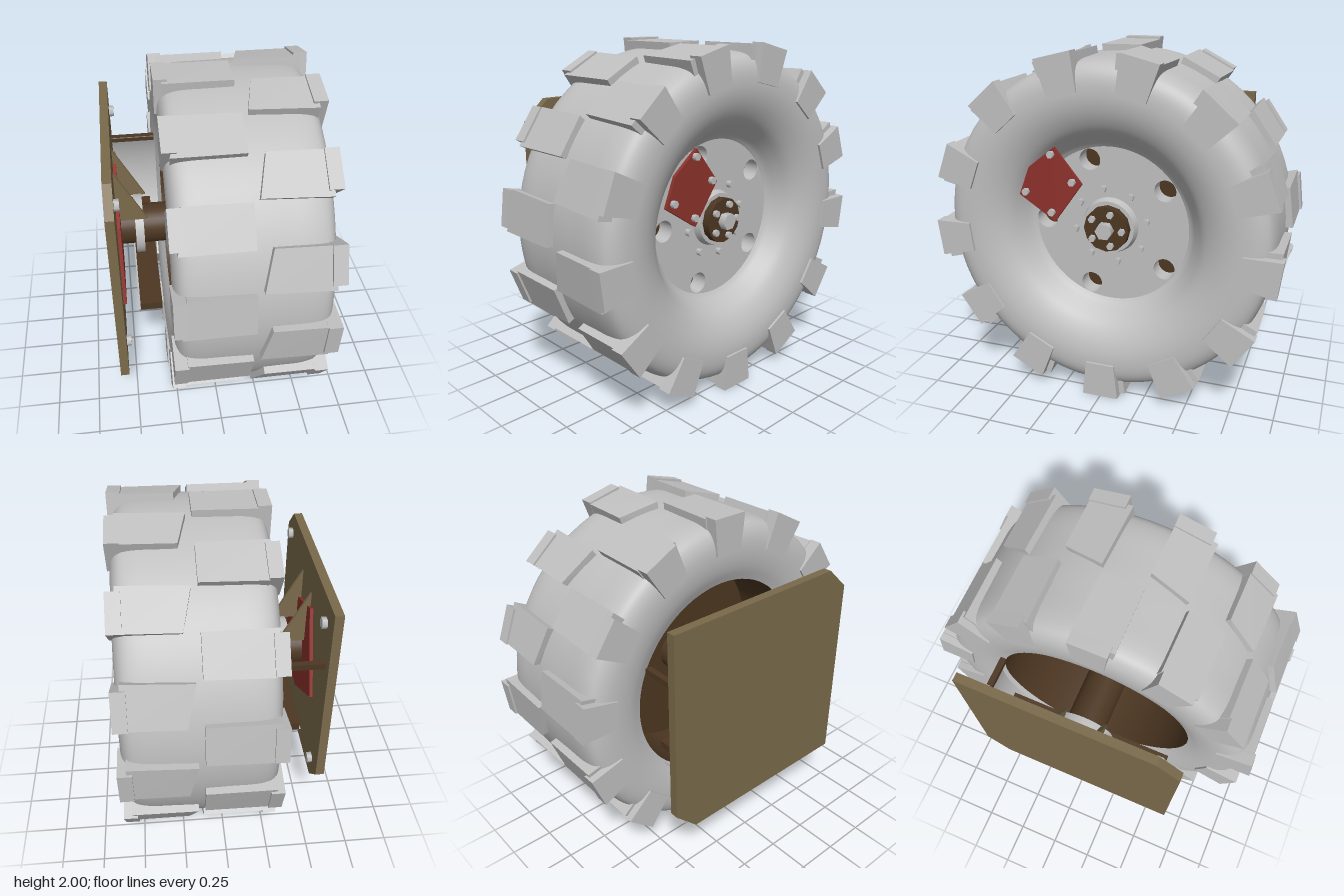
import * as THREE from 'three';
import { ConvexGeometry } from 'three/addons/geometries/ConvexGeometry.js';

const mat = (name, color) => Object.assign(new THREE.MeshStandardMaterial({ color }), { name });
const V = (x, y, z) => new THREE.Vector3(x, y, z);

export function createModel() {
  const grey = mat('rubberGrey', 0xc0c0c0);
  const brown = mat('darkBrown', 0x4d3722);
  const khaki = mat('khakiPlate', 0x7a6a4b);
  const red = mat('red', 0x8e322c);

  const model = new THREE.Group();
  model.name = 'wheelAssembly';
  // everything on the axle shares this group, axle along x
  const wheel = new THREE.Group();
  wheel.name = 'wheel';
  wheel.position.y = 1;
  model.add(wheel);

  const add = (name, geo, material) => {
    const m = new THREE.Mesh(geo, material);
    m.name = name;
    wheel.add(m);
    return m;
  };
  // cylinder along x between x0 and x1
  const rod = (name, r, x0, x1, material, y = 0, z = 0, sides = 32) => {
    const g = new THREE.CylinderGeometry(r, r, x1 - x0, sides);
    g.rotateZ(-Math.PI / 2);
    g.translate((x0 + x1) / 2, y, z);
    return add(name, g, material);
  };
  // surface of revolution about x from [radius, x] points
  const spin = (name, pts, material) => {
    const g = new THREE.LatheGeometry(pts.map(p => new THREE.Vector2(...p)), 72);
    g.rotateZ(-Math.PI / 2);
    return add(name, g, material);
  };
  // plate drawn in (z, y), from x1 back to x0
  const plate = (name, shape, x0, x1, material) => {
    const g = new THREE.ExtrudeGeometry(shape, { depth: x1 - x0, bevelEnabled: false, curveSegments: 36 });
    g.rotateY(-Math.PI / 2);
    g.translate(x1, 0, 0);
    return add(name, g, material);
  };
  const poly = pts => new THREE.Shape(pts.map(p => new THREE.Vector2(...p)));

  // tyre carcass with a dished outer wall
  const side = new THREE.CatmullRomCurve3([
    [0.6, -0.235], [0.68, -0.265], [0.78, -0.278], [0.87, -0.268], [0.925, -0.235], [0.948, -0.17],
    [0.953, 0], [0.955, 0.15], [0.953, 0.3], [0.948, 0.45], [0.925, 0.525], [0.87, 0.562], [0.78, 0.573],
    [0.7, 0.562], [0.63, 0.535], [0.57, 0.495], [0.52, 0.435], [0.485, 0.39], [0.46, 0.37]
  ].map(p => V(p[0], p[1], 0)));
  spin('tyre', side.getPoints(72).map(p => [p.x, p.y]), grey);

  // wheel disc with five round holes
  const disc = new THREE.Shape().absarc(0, 0, 0.462, 0, Math.PI * 2);
  for (let i = 0; i < 5; i++) {
    const a = (i * 72 * Math.PI) / 180;
    disc.holes.push(new THREE.Path().absarc(0.395 * Math.cos(a), 0.395 * Math.sin(a), 0.062, 0, Math.PI * 2, true));
  }
  plate('wheelDisc', disc, 0.27, 0.37, grey);
  rod('backDisc', 0.6, 0.18, 0.22, brown, 0, 0, 72);
  spin('innerBarrel', [[0.6, 0.22], [0.6, -0.235]], brown);

  // tread lugs: a pad across the tread and a block over the shoulder
  const pad = corners => {
    const pts = [];
    for (const [x, deg] of corners) for (const r of [0.91, 0.995]) {
      const a = (deg * Math.PI) / 180;
      pts.push(V(x, r * Math.sin(a), r * Math.cos(a)));
    }
    return new ConvexGeometry(pts);
  };
  const block = (x0, x1) => {
    const pts = [];
    for (const x of [x0, x1]) for (const s of [-1, 1]) pts.push(V(x, s * 0.085, 0.79), V(x, s * 0.107, 1));
    return new ConvexGeometry(pts);
  };
  const outerPad = pad([[0.22, 6.5], [0.17, -7], [0.54, -8], [0.54, 6]]);
  const innerPad = pad([[-0.22, 6.5], [-0.25, -7.5], [0.135, -7.5], [0.135, 6]]);
  const outerBlock = block(0.51, 0.587);
  const innerBlock = block(-0.29, -0.215);
  const step = (Math.PI * 2) / 13;
  for (let i = 0; i < 13; i++) {
    const a = -Math.PI / 2 + i * step;
    add('outerTreadPad', outerPad, grey).rotation.x = -a;
    add('outerShoulderBlock', outerBlock, grey).rotation.x = -a;
    add('innerTreadPad', innerPad, grey).rotation.x = -a - step / 2;
    add('innerShoulderBlock', innerBlock, grey).rotation.x = -a - step / 2;
  }

  // hub, its cap and the bolt circles
  spin('hubRingBevel', [[0.167, 0.365], [0.152, 0.41]], grey);
  rod('hubRing', 0.152, 0.36, 0.41, grey);
  rod('hubCap', 0.132, 0.4, 0.455, brown, 0, 0, 12);
  rod('hubNut', 0.05, 0.45, 0.5, grey, 0, 0, 6);
  for (let i = 0; i < 5; i++) {
    const a = Math.PI + (i * Math.PI * 2) / 5;
    rod('capBolt', 0.02, 0.45, 0.478, grey, 0.097 * Math.sin(a), 0.097 * Math.cos(a), 6);
  }
  for (let i = 0; i < 8; i++) {
    const a = (79 * Math.PI) / 180 + (i * Math.PI) / 4;
    rod('discBolt', 0.021, 0.36, 0.4, grey, 0.218 * Math.sin(a), 0.218 * Math.cos(a), 6);
  }

  // red outer bracket with its bolts
  plate('redBracket', poly([[0.28, 0.465], [0.12, 0.265], [0.285, 0.035], [0.5, 0.175], [0.435, 0.34]]), 0.485, 0.505, red);
  for (const [z, y] of [[0.295, 0.425], [0.172, 0.277], [0.3, 0.09], [0.455, 0.197]])
    rod('bracketBolt', 0.021, 0.47, 0.53, grey, y, z, 6);

  // axle and collar
  rod('axle', 0.12, -0.54, 0.2, brown);
  rod('axleCollar', 0.178, -0.435, -0.385, grey);

  // curved outward-facing guard behind the wheel, with a top edge
  const guard = new THREE.CylinderGeometry(0.61, 0.61, 0.28, 24, 1, true, Math.PI / 2 - 0.79, 1.29);
  guard.rotateZ(Math.PI / 2);
  guard.rotateX(Math.PI / 2);
  // seat the arc so that it is centred slightly below the axle at the back
  const arc = guard.getAttribute('position');
  for (let i = 0; i < arc.count; i++) {
    const row = i % 25, t = -0.79 + (1.29 * row) / 24;
    const x = i < 25 ? -0.54 : -0.26;
    arc.setXYZ(i, x, 0.61 * Math.sin(t), -0.61 * Math.cos(t));
  }
  guard.computeVertexNormals();
  add('curvedGuard', guard, grey);
  add('guardEdge', new THREE.BoxGeometry(0.27, 0.035, 0.035), brown).position.set(-0.405, 0.275, -0.557);

  // cross bar under the axle with a tapered shoe below it
  add('crossBar', new THREE.BoxGeometry(0.125, 0.045, 1.05), brown).position.set(-0.38, -0.2, 0);
  plate('lowerShoe', poly([[-0.525, -0.222], [0.525, -0.222], [0.44, -0.312], [-0.44, -0.312]]), -0.452, -0.32, grey);

  // mounting plate with two cut corners, red backing and bolts
  plate('mountingPlate', poly([[-0.64, 0.645], [0.5, 0.645], [0.64, 0.515], [0.64, -0.635], [-0.5, -0.635], [-0.64, -0.495]]),
    -0.59, -0.54, khaki);
  plate('redBacking', poly([[-0.2, 0.4], [0.3, 0.2], [0.44, -0.25], [0, -0.33], [-0.39, -0.1]]), -0.54, -0.52, red);
  for (const y of [-0.49, 0.51]) for (const z of [-0.5, 0.5])
    rod('plateBolt', 0.033, -0.55, -0.512, grey, y, z, 6);

  // triangular gussets above the axle
  for (const z of [-0.135, 0.115]) {
    const tri = poly([[-0.54, 0.46], [-0.54, 0.13], [-0.36, 0.13]]);
    add('gusset', new THREE.ExtrudeGeometry(tri, { depth: 0.02, bevelEnabled: false }), khaki).position.z = z;
  }
  return model;
}
